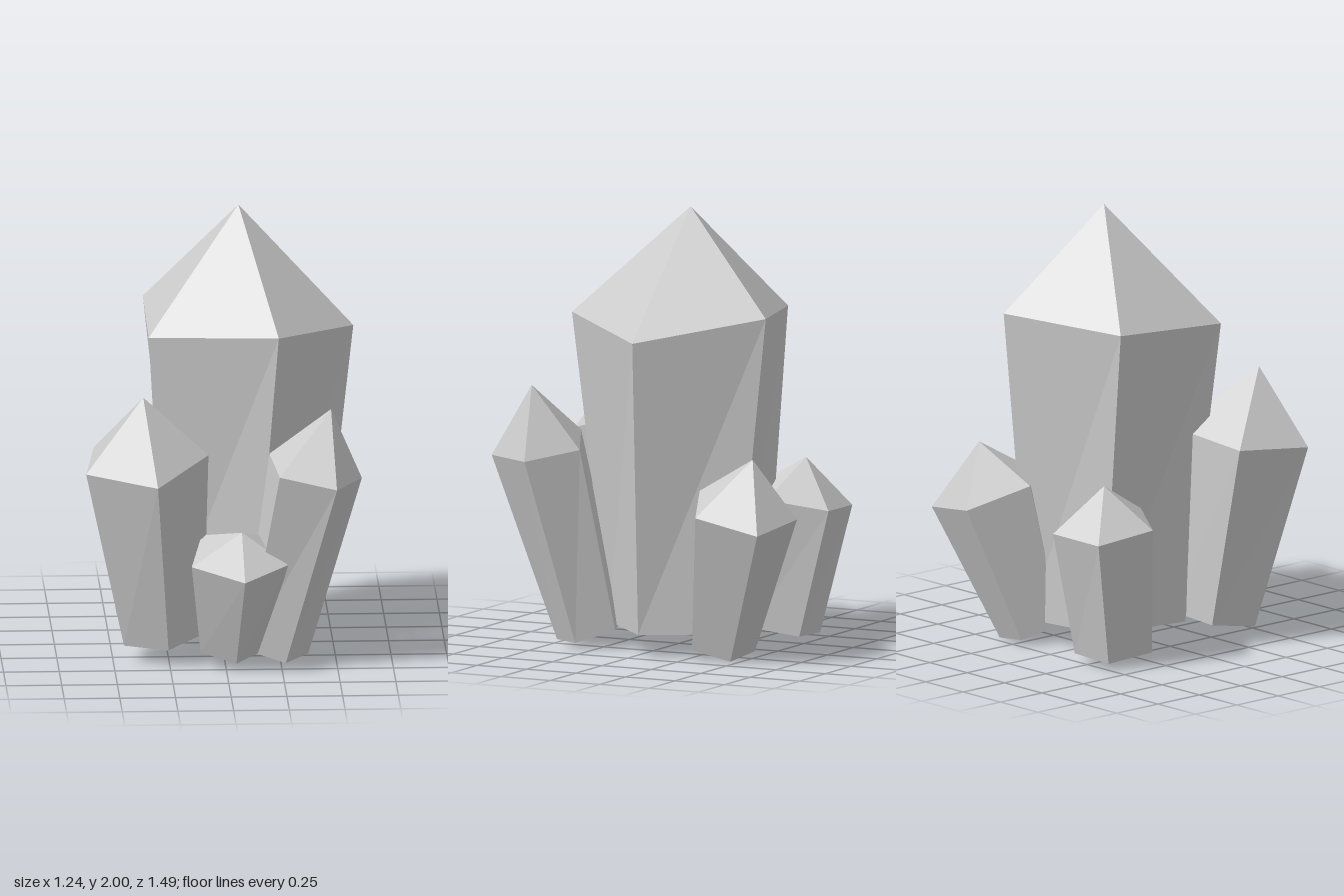
import * as THREE from 'three';

const SIDES = 5;

// Five-sided ring of points; its plane leans with the crystal's axis (tx, tz).
function ring([cx, cy, cz], radius, degrees, tx, tz, lift = [], spread = []) {
  return Array.from({ length: SIDES }, (_, i) => {
    const a = THREE.MathUtils.degToRad(degrees + (i * 360) / SIDES);
    const r = radius * (spread[i] ?? 1);
    const dx = r * Math.cos(a), dz = r * Math.sin(a);
    return [cx + dx, cy - tx * dx - tz * dz + (lift[i] ?? 0), cz + dz];
  });
}

// Flaring prism, open underneath, from base to shoulder, closed by a pointed tip.
function crystal({ name, base, baseR, shoulder, shoulderR, tip, angle, twist = 0, lift, spread }) {
  const h = shoulder[1] - base[1];
  const tx = (shoulder[0] - base[0]) / h, tz = (shoulder[2] - base[2]) / h;
  const low = ring(base, baseR, angle + twist, tx, tz);
  const high = ring(shoulder, shoulderR, angle, tx, tz, lift, spread);
  const points = [];
  for (let i = 0; i < SIDES; i++) {
    const j = (i + 1) % SIDES;
    points.push(low[i], high[i], low[j], high[i], high[j], low[j]); // side
    points.push(high[i], tip, high[j]); // tip facet
  }
  const geometry = new THREE.BufferGeometry();
  geometry.setAttribute('position', new THREE.Float32BufferAttribute(points.flat(), 3));
  geometry.computeVertexNormals();
  const material = new THREE.MeshStandardMaterial({
    color: 0xcccccc, flatShading: true, side: THREE.DoubleSide,
  });
  const mesh = new THREE.Mesh(geometry, material);
  mesh.name = name;
  return mesh;
}

const CRYSTALS = [
  { name: 'mainCrystal', base: [0.075, 0.1, -0.08], baseR: 0.37, shoulder: [0.08, 1.49, -0.073],
    shoulderR: 0.515, tip: [0.08, 2, -0.1], angle: 0, twist: 9, lift: [-0.045, 0.02, -0.02, 0.02, 0.05] },
  { name: 'frontRightCrystal', base: [-0.28, 0.1, 0.25], baseR: 0.19, shoulder: [-0.355, 0.93, 0.365],
    shoulderR: 0.315, tip: [-0.37, 1.245, 0.43], angle: 11, lift: [0.025, 0, 0.02],
    spread: [0.9, 1.05, 0.96, 1.04, 1] },
  { name: 'frontLeftCrystal', base: [0.22, 0.06, 0.33], baseR: 0.155, shoulder: [0.392, 0.91, 0.495],
    shoulderR: 0.22, tip: [0.47, 1.2, 0.5], angle: -8, twist: 8, lift: [0, 0.02, 0.01, 0, -0.03] },
  { name: 'smallFrontCrystal', base: [0.02, 0.08, 0.39], baseR: 0.15, shoulder: [0.05, 0.525, 0.515],
    shoulderR: 0.23, tip: [0.07, 0.635, 0.51], angle: 12, twist: -3, lift: [0, 0, -0.01] },
  { name: 'backLeftCrystal', base: [0.27, 0.05, -0.35], baseR: 0.155, shoulder: [0.395, 0.69, -0.52],
    shoulderR: 0.25, tip: [0.39, 0.925, -0.575], angle: 28, spread: [1, 0.94] },
  { name: 'backRightCrystal', base: [-0.285, 0.06, -0.36], baseR: 0.185, shoulder: [-0.315, 0.645, -0.452],
    shoulderR: 0.237, tip: [-0.33, 0.835, -0.47], angle: 13, twist: 3 },
];

export function createModel() {
  const group = new THREE.Group();
  group.name = 'crystalCluster';
  for (const spec of CRYSTALS) group.add(crystal(spec));
  return group;
}
